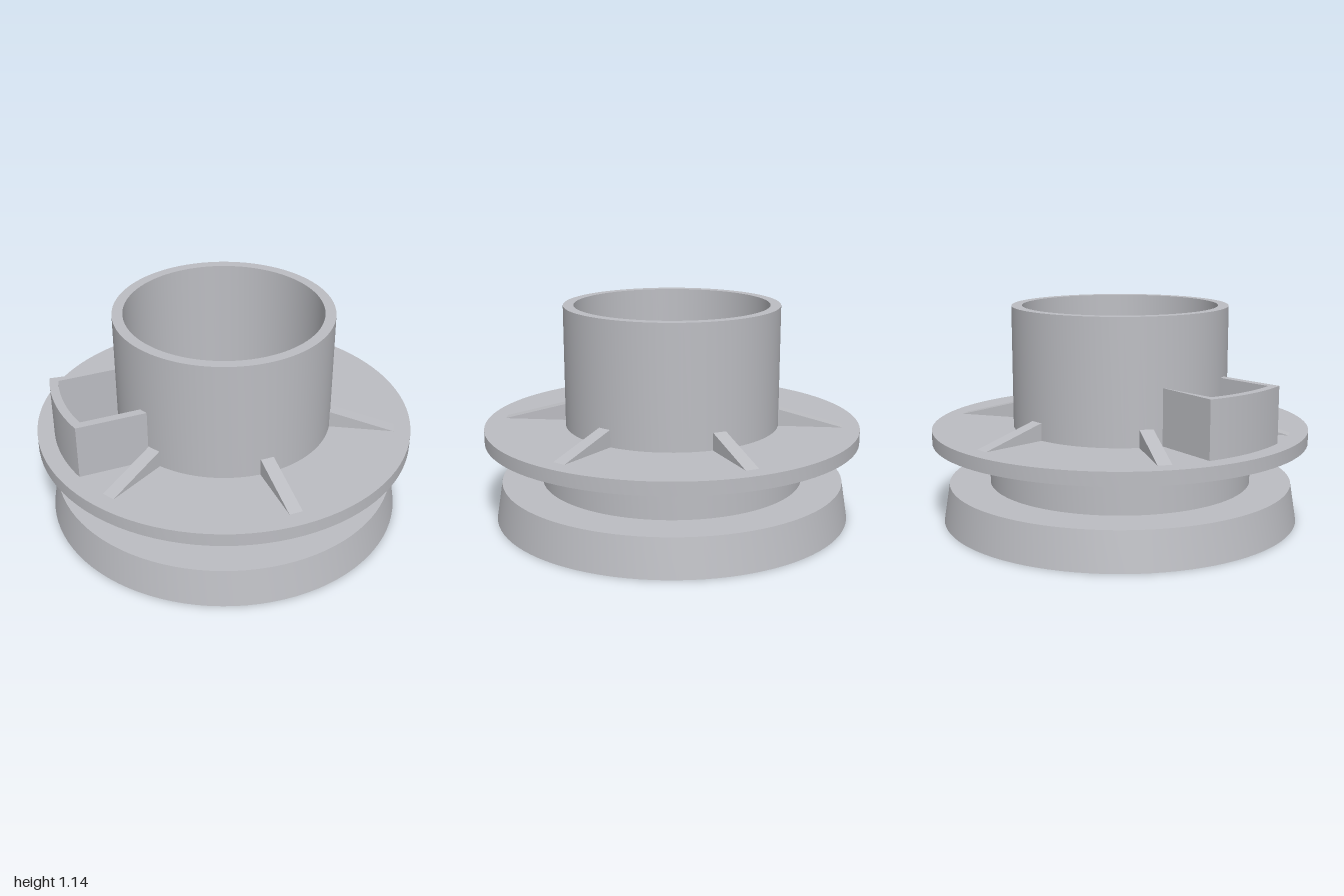
import * as THREE from 'three';
import { toCreasedNormals } from 'three/addons/utils/BufferGeometryUtils.js';

export function createModel() {
  const group = new THREE.Group();
  const grey = new THREE.MeshStandardMaterial({ color: 0xbcbdc2 });
  grey.name = 'grey';

  function add(name, geometry, angle = 0) {
    const mesh = new THREE.Mesh(geometry, grey);
    mesh.name = name;
    mesh.rotation.y = angle;
    group.add(mesh);
    return mesh;
  }

  // Turned surface from [radius, height] points, crisp at the corners
  function turned(name, points) {
    const profile = points.map(([r, y]) => new THREE.Vector2(r, y));
    add(name, toCreasedNormals(new THREE.LatheGeometry(profile, 96), 0.5));
  }

  // Body, in successive sections that together close the skin
  turned('hubUnderside', [[0.2, 0.1], [0.313, 0.1], [0.313, 0.15], [0.571, 0.15], [0.571, 0.1]]);
  turned('baseDisc', [[0.571, 0.1], [0.917, 0.1], [0.94, 0], [0.95, 0], [0.917, 0.2], [0.7, 0.2]]);
  turned('drum', [[0.7, 0.2], [0.7, 0.43]]);
  turned('flange', [[0.7, 0.43], [1, 0.43], [1, 0.5], [0.57, 0.5]]);
  turned('collar', [[0.57, 0.5], [0.57, 1.14], [0.515, 1.14], [0.515, 0.2]]);
  turned('boreSleeve', [[0.515, 0.2], [0.225, 0.2], [0.225, 0.4], [0.2, 0.4], [0.2, 0.1]]);

  // Spokes in the recess under the hub
  const spoke = new THREE.BoxGeometry(0.262, 0.05, 0.045).translate(0.442, 0.125, 0);
  for (let i = 0; i < 16; i++) add('hubSpoke', spoke, ((i + 0.5) * Math.PI) / 8);

  // Sloping gussets between collar and flange
  const gussetShape = new THREE.Shape([
    new THREE.Vector2(0.55, 0.5), new THREE.Vector2(0.91, 0.5),
    new THREE.Vector2(0.57, 0.59), new THREE.Vector2(0.55, 0.59),
  ]);
  const gusset = new THREE.ExtrudeGeometry(gussetShape, { depth: 0.07, bevelEnabled: false });
  gusset.translate(0, 0, -0.035);
  for (let i = 0; i < 6; i++) add('gusset', gusset, Math.PI / 6 + (i * Math.PI) / 3);

  // Curved pocket wall on the model's right side
  const outer = Math.asin(0.25 / 0.91);
  const inner = Math.asin(0.207 / 0.865);
  const pocket = new THREE.Shape();
  pocket.moveTo(-0.49, 0.25);
  pocket.absarc(0, 0, 0.91, Math.PI - outer, Math.PI + outer, false);
  pocket.lineTo(-0.49, -0.25);
  pocket.lineTo(-0.508, -0.207);
  pocket.absarc(0, 0, 0.865, Math.PI + inner, Math.PI - inner, true);
  pocket.lineTo(-0.508, 0.207);
  const wall = new THREE.ExtrudeGeometry(pocket, { depth: 0.29, bevelEnabled: false, curveSegments: 16 });
  wall.rotateX(-Math.PI / 2).translate(0, 0.5, 0);
  add('pocketWall', toCreasedNormals(wall, 0.3));

  return group;
}
